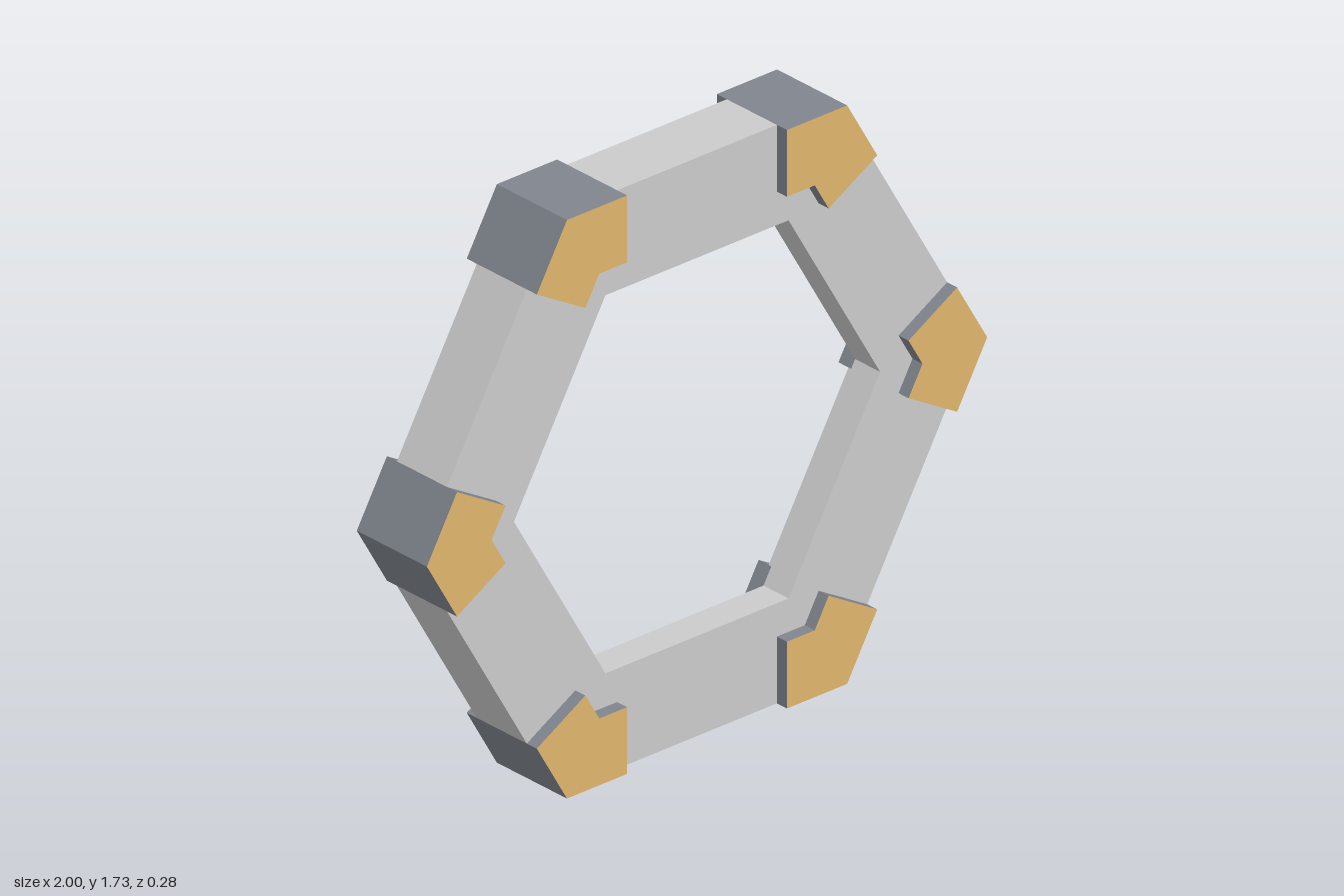
import * as THREE from 'three';

const S = Math.sqrt(3) / 2;      // apothem of a hexagon with radius 1
const RAIL = 0.2;                // rail width, measured inward from the outer edge
const LIP = 0.1;                 // extra width of the inner lip
const ARM = 0.215;               // length of each corner bracket arm
const RAIL_HALF = 0.1, BRACKET_HALF = 0.14;

const hexagon = (apothem) => Array.from({ length: 6 }, (_, k) => {
  const a = k * Math.PI / 3;
  return new THREE.Vector2(Math.cos(a), Math.sin(a)).multiplyScalar(apothem / S);
});

const extrude = (shape, z0, z1) => new THREE.ExtrudeGeometry(shape,
  { depth: z1 - z0, bevelEnabled: false }).translate(0, 0, z0);

export function createModel() {
  const model = new THREE.Group();
  model.name = 'hexagonalFrame';
  const ring = new THREE.Group();
  ring.position.y = S;
  model.add(ring);

  const grey = new THREE.MeshStandardMaterial({ color: 0xcccccc });
  const gold = new THREE.MeshStandardMaterial({ color: 0xdfb56c });
  const slate = new THREE.MeshStandardMaterial({ color: 0x80858e });

  const add = (name, geometry, material, angle = 0) => {
    const mesh = new THREE.Mesh(geometry, material);
    mesh.name = name;
    mesh.rotation.z = angle;
    ring.add(mesh);
  };

  // Inner lip fills only the front half of the depth, leaving a step at the back
  const lipShape = new THREE.Shape(hexagon(S - RAIL));
  lipShape.holes.push(new THREE.Path(hexagon(S - RAIL - LIP)));
  add('innerLip', extrude(lipShape, 0, RAIL_HALF), grey);

  // Straight rail between two brackets
  const rail = new THREE.BoxGeometry(RAIL, 1 - 2 * ARM, 2 * RAIL_HALF)
    .translate(S - RAIL / 2, 0, 0);

  // Chevron bracket wrapping the corner at (1, 0)
  const endX = 1 - ARM / 2, endY = ARM * S;
  const tipX = endX - RAIL * S, tipY = endY - RAIL / 2;
  const bracket = extrude(new THREE.Shape([
    [1, 0], [endX, endY], [tipX, tipY], [1 - RAIL / S, 0], [tipX, -tipY], [endX, -endY],
  ].map(([x, y]) => new THREE.Vector2(x, y))), -BRACKET_HALF, BRACKET_HALF);

  for (let k = 0; k < 6; k++) {
    add('rail', rail, grey, (k + 0.5) * Math.PI / 3);
    add('cornerBracket', bracket, [gold, slate], k * Math.PI / 3);
  }
  return model;
}
